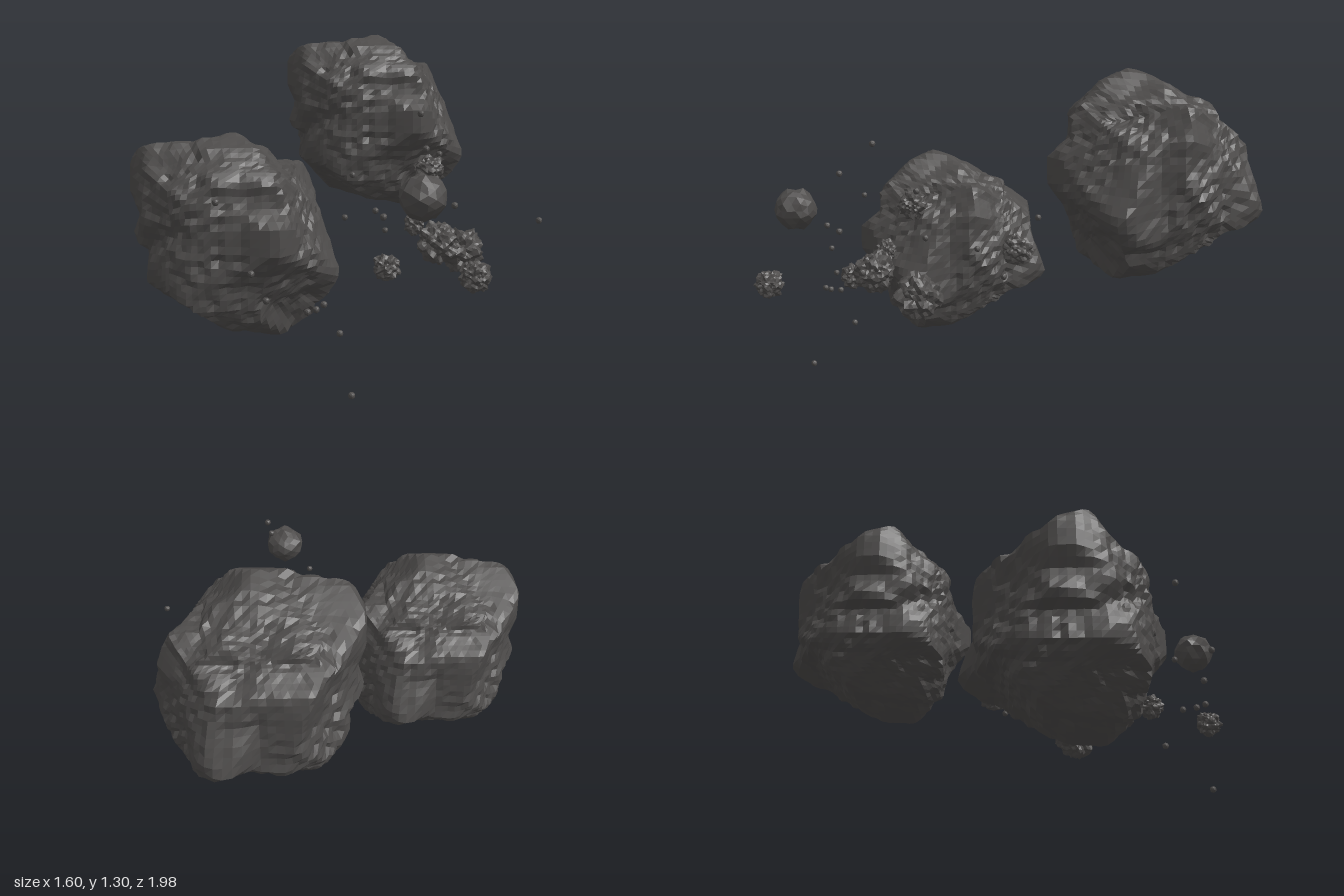
import * as THREE from 'three';

const rockGrey = new THREE.MeshStandardMaterial({ color: 0x4d4b4a, flatShading: true });
rockGrey.name = 'rock grey';

// Outlines of the large boulder around its core, as seen along six directions
const frontOutline = [
  [-0.41, 0.28], [-0.37, 0.36], [-0.12, 0.40], [0.03, 0.405], [0.12, 0.35], [0.18, 0.27], [0.29, 0.27],
  [0.35, 0.21], [0.345, 0.09], [0.41, -0.12], [0.34, -0.31], [0.16, -0.40], [0.01, -0.365], [-0.185, -0.355],
  [-0.29, -0.24], [-0.355, -0.17], [-0.34, -0.06], [-0.41, -0.02], [-0.37, 0.08], [-0.41, 0.17],
];
const sideOutline = [
  [-0.095, 0.405], [0.08, 0.35], [0.23, 0.30], [0.23, 0.21], [0.34, 0.14], [0.36, 0.02], [0.43, -0.17],
  [0.27, -0.21], [0.11, -0.355], [-0.15, -0.40], [-0.29, -0.34], [-0.32, -0.19], [-0.35, -0.12], [-0.43, -0.01],
  [-0.415, 0.07], [-0.32, 0.14], [-0.33, 0.23], [-0.21, 0.35],
];
const topOutline = [
  [-0.41, 0.055], [-0.32, 0.22], [-0.205, 0.355], [-0.03, 0.34], [0.10, 0.435], [0.19, 0.38],
  [0.235, 0.25], [0.355, 0.145], [0.325, 0.01], [0.41, -0.15], [0.29, -0.28], [0.13, -0.42], [-0.005, -0.36],
  [-0.205, -0.315], [-0.35, -0.20], [-0.41, -0.04],
];
const frontRightOutline = [
  [-0.34, 0.39], [-0.14, 0.335], [0.005, 0.34], [0.105, 0.31], [0.30, 0.29], [0.305, 0.18], [0.38, -0.03],
  [0.335, -0.165], [0.29, -0.24], [0.21, -0.425], [0.065, -0.46], [-0.11, -0.40], [-0.245, -0.40],
  [-0.34, -0.32], [-0.42, -0.15], [-0.345, 0.01], [-0.405, 0.095], [-0.38, 0.25],
];
const backLeftOutline = [
  [0.08, 0.43], [-0.04, 0.34], [-0.24, 0.29], [-0.35, 0.26], [-0.33, 0.08], [-0.38, -0.18], [-0.345, -0.255],
  [-0.20, -0.26], [-0.11, -0.34], [0.08, -0.42], [0.24, -0.32], [0.36, -0.21], [0.41, 0.0], [0.37, 0.17],
  [0.375, 0.25], [0.28, 0.30], [0.21, 0.365],
];
const backBelowOutline = [
  [-0.15, 0.365], [-0.035, 0.33], [0.095, 0.36], [0.14, 0.26], [0.23, 0.25], [0.32, 0.265], [0.39, 0.195],
  [0.35, 0.02], [0.39, -0.175], [0.305, -0.32], [0.17, -0.32], [0.05, -0.35], [-0.165, -0.44], [-0.24, -0.38],
  [-0.26, -0.275], [-0.42, -0.08], [-0.36, 0.02], [-0.30, 0.165], [-0.21, 0.25],
];

// Each outline lies in a plane given by azimuth and elevation in degrees
const outlines = [
  [frontOutline, 0, 0], [sideOutline, 90, 0], [topOutline, 0, 90],
  [frontRightOutline, 35, 25], [backLeftOutline, 215, 25], [backBelowOutline, 140, -30],
].map(([points, azimuth, elevation]) => {
  const a = THREE.MathUtils.degToRad(azimuth), e = THREE.MathUtils.degToRad(elevation);
  return {
    points,
    right: new THREE.Vector3(Math.cos(a), 0, -Math.sin(a)),
    up: new THREE.Vector3(-Math.sin(e) * Math.sin(a), Math.cos(e), -Math.sin(e) * Math.cos(a)),
  };
});

// Knobs standing out from the boulder, relative to its core
const knobs = [
  [-0.39, 0.34, 0], [-0.41, 0.18, 0.02], [0.03, 0.405, 0.095], [0.35, 0.20, -0.145], [0.41, -0.12, 0.15],
  [0.10, -0.17, -0.435], [0.13, 0.01, 0.42], [0.16, -0.40, 0.15], [-0.21, 0.08, -0.35], [-0.355, -0.17, 0.2],
  [-0.185, -0.355, 0],
].map((p) => new THREE.Vector3(...p).normalize());

// Distance along (a, b) at which a ray from the core leaves an outline
function reach(points, a, b) {
  let best = Infinity;
  if (Math.hypot(a, b) < 1e-4) return best;
  points.forEach((p, i) => {
    const q = points[(i + 1) % points.length];
    const ex = q[0] - p[0], ey = q[1] - p[1];
    const det = a * ey - b * ex;
    if (Math.abs(det) < 1e-9) return;
    const t = (p[0] * ey - p[1] * ex) / det;
    const s = (p[0] * b - p[1] * a) / det;
    if (t > 0 && s >= -1e-6 && s <= 1 + 1e-6) best = Math.min(best, t);
  });
  return best;
}

// Uneven value from -1 to 1 over the directions of a sphere
function bumps(d, f, seed) {
  return (Math.sin(d.x * f + seed) * Math.cos(d.y * f * 1.1 + seed * 2.3)
    + Math.sin(d.y * f * 1.3 + seed * 1.7) * Math.cos(d.z * f + seed)
    + Math.sin(d.z * f * 1.2 + seed * 0.6) * Math.cos(d.x * f * 0.9 + seed * 3.1)) / 2;
}

// Replace each vertex by its direction times a radius rule
function shape(geometry, radius) {
  const pos = geometry.attributes.position;
  const d = new THREE.Vector3();
  for (let i = 0; i < pos.count; i++) {
    d.fromBufferAttribute(pos, i).normalize();
    d.multiplyScalar(radius(d));
    pos.setXYZ(i, d.x, d.y, d.z);
  }
  const flat = geometry.index ? geometry.toNonIndexed() : geometry;
  flat.computeVertexNormals();
  return flat;
}

// Blocky boulder: a rough ball with knobs, trimmed to its outlines
function boulderGeometry() {
  return shape(new THREE.BoxGeometry(2, 2, 2, 24, 24, 24), (d) => {
    const knob = Math.max(...knobs.map((k) => Math.exp((d.dot(k) - 1) * 14)));
    const ball = 0.405 + 0.13 * knob + 0.02 * bumps(d, 9, 1.3);
    const hull = Math.min(...outlines.map((o) => reach(o.points, d.dot(o.right), d.dot(o.up))));
    const pit = (1 - knob) * (Math.max(0, bumps(d, 11, 4.1)) * 0.05 + Math.max(0, bumps(d, 27, 2.2)) * 0.05);
    return Math.min(hull, ball) * (1 - pit);
  });
}

// Small rock of unit size; rough sets how knobbly it is
function smallRockGeometry(detail, rough, seed) {
  return shape(new THREE.IcosahedronGeometry(1, detail),
    (d) => 1 - rough * 0.5 + rough * 0.6 * bumps(d, 7, seed) + rough * 0.3 * bumps(d, 15, seed + 2));
}

export function createModel() {
  const model = new THREE.Group();
  model.name = 'asteroidField';

  const add = (name, geometry, position, scale = [1, 1, 1]) => {
    const mesh = new THREE.Mesh(geometry, rockGrey);
    mesh.name = name;
    mesh.position.set(...position);
    mesh.scale.set(...scale);
    model.add(mesh);
  };

  // Two matching large boulders
  const boulder = boulderGeometry();
  add('lowerBoulder', boulder, [-0.39, 0.52, 0.25]);
  add('upperBoulder', boulder, [0.325, 0.895, -0.57]);

  // Knobbly rocks: x, y, z, then half sizes
  [
    [0.52, 0.43, 0.335, 0.095, 0.1, 0.1],
    [0.375, 0.765, 0.365, 0.065, 0.062, 0.062],
    [0.375, 0.50, 0.52, 0.085, 0.09, 0.085],
    [0.29, 0.57, 0.48, 0.042, 0.05, 0.042],
    [0.44, 0.60, -0.045, 0.038, 0.062, 0.065],
    [0.15, 0.435, 0.64, 0.056, 0.056, 0.056],
    [0.41, 0.455, 0.93, 0.062, 0.062, 0.062],
  ].forEach(([x, y, z, ...size], i) =>
    add('knobblyRock', smallRockGeometry(6, 0.3, 1 + i * 1.9), [x, y, z], size));

  // Smoother round rock
  add('roundRock', smallRockGeometry(2, 0.14, 3), [0.235, 0.73, 0.855], [0.09, 0.09, 0.09]);

  // Scattered pebbles
  const pebble = smallRockGeometry(1, 0.12, 5);
  [
    [0.15, 0.685, -0.13], [0.27, 0.46, 0.01], [0.075, 0.54, 0.125], [0.165, 0.60, 0.335],
    [0.785, 0.575, 0.505], [0.405, 0.665, 0.65], [0.29, 0.88, 0.665], [0.30, 1.0, 0.53],
    [0.115, 0.645, 0.75], [-0.015, 0.015, 0.845], [-0.03, 0.195, 0.665], [-0.10, 0.325, 0.735],
    [-0.135, 0.32, 0.785], [-0.17, 0.32, 0.815], [-0.315, 0.36, 0.79], [-0.37, 0.465, 0.82],
    [-0.485, 0.70, 0.68], [0.42, 0.825, 0.345],
  ].forEach((p) => add('pebble', pebble, p, [0.014, 0.014, 0.014]));

  return model;
}
